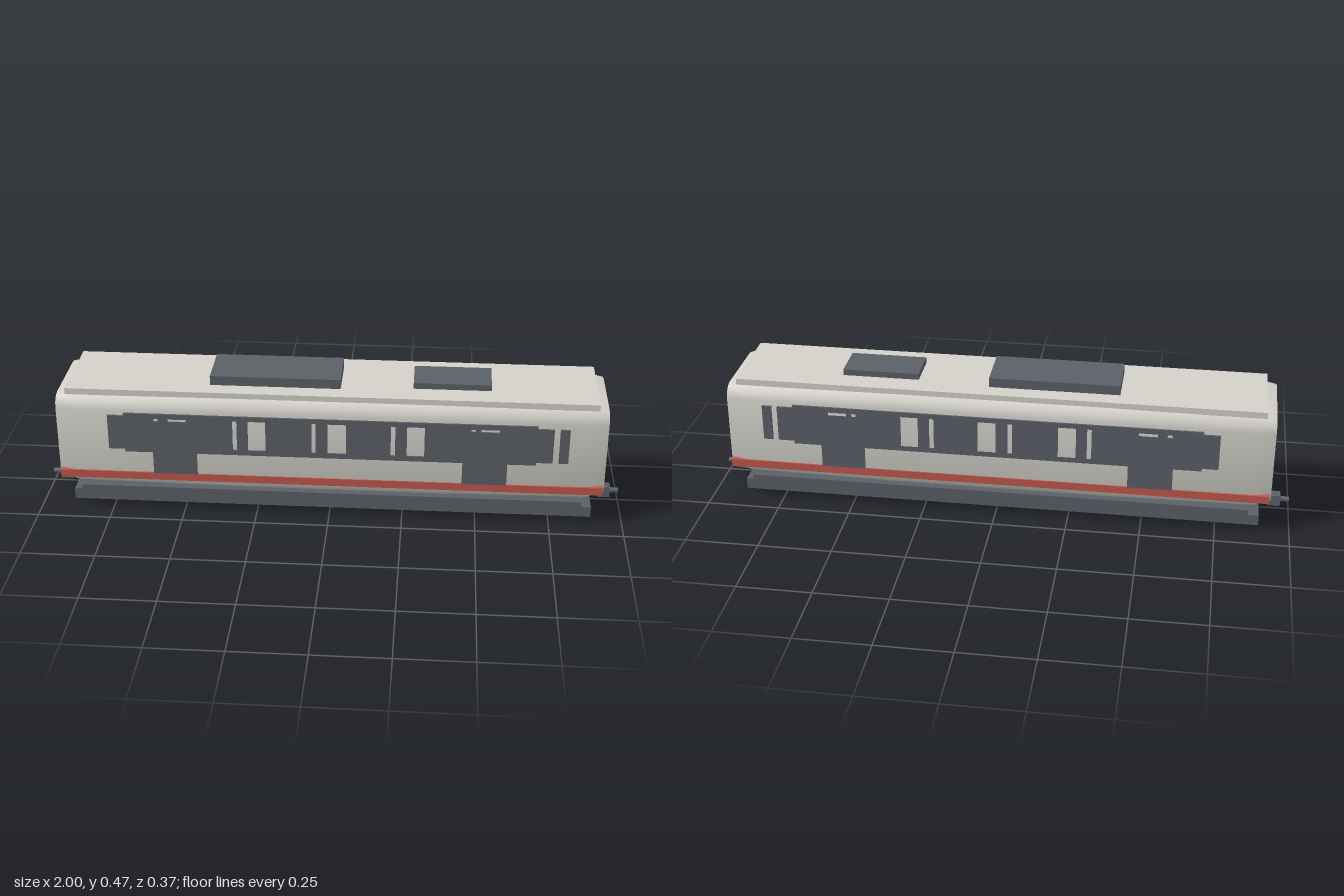
import * as THREE from 'three';
import { toCreasedNormals } from 'three/addons/utils/BufferGeometryUtils.js';

const cream = new THREE.MeshStandardMaterial({ color: 0xd3d1c9 });
cream.name = 'cream paint';
const dark = new THREE.MeshStandardMaterial({ color: 0x5b5f67 });
dark.name = 'dark grey';
const red = new THREE.MeshStandardMaterial({ color: 0xc0584e });
red.name = 'red stripe paint';

function add(parent, name, geometry, material) {
  const mesh = new THREE.Mesh(geometry, material);
  mesh.name = name;
  parent.add(mesh);
  return mesh;
}

// Box given by its limits on each axis
function box(parent, name, material, [x0, x1], [y0, y1], [z0, z1]) {
  const mesh = add(parent, name, new THREE.BoxGeometry(x1 - x0, y1 - y0, z1 - z0), material);
  mesh.position.set((x0 + x1) / 2, (y0 + y1) / 2, (z0 + z1) / 2);
  return mesh;
}

// Rounded rectangle cross-section at x
function section(x, halfWidth, y0, y1, r) {
  const points = [];
  const corners = [[1, 1], [-1, 1], [-1, -1], [1, -1]];
  corners.forEach(([sz, sy], c) => {
    for (let i = 0; i <= 3; i++) {
      const a = (c + i / 3) * Math.PI / 2;
      const cz = sz * (halfWidth - r), cy = sy > 0 ? y1 - r : y0 + r;
      points.push([x, cy + Math.sin(a) * r, cz + Math.cos(a) * r]);
    }
  });
  return points;
}

// Lofted shell, tapering towards both ends
function bodyGeometry() {
  const half = [
    [0.93, 0.163, 0.101, 0.413, 0.042],
    [0.87, 0.178, 0.088, 0.422, 0.046],
    [0.36, 0.1805, 0.083, 0.425, 0.046],
  ];
  const rings = [
    ...half.map(([x, ...rest]) => section(-x, ...rest)),
    ...half.slice().reverse().map((s) => section(...s)),
  ];
  const n = rings[0].length;
  const positions = rings.flat(2);
  const index = [];
  for (let k = 0; k < rings.length - 1; k++) {
    for (let i = 0; i < n; i++) {
      const a = k * n + i, b = k * n + (i + 1) % n;
      index.push(a, a + n, b, b, a + n, b + n);
    }
  }
  const last = (rings.length - 1) * n;
  for (let i = 1; i < n - 1; i++) {
    index.push(0, i, i + 1);
    index.push(last, last + i + 1, last + i);
  }
  const geometry = new THREE.BufferGeometry();
  geometry.setAttribute('position', new THREE.Float32BufferAttribute(positions, 3));
  geometry.setIndex(index);
  return toCreasedNormals(geometry, 0.6);
}

// Window band with both doors, and openings that show the body paint
function windowBandGeometry(mirrored) {
  const m = mirrored ? -1 : 1;
  const outline = [
    [-0.75, 0.235], [-0.695, 0.235], [-0.695, 0.225], [-0.6, 0.225], [-0.6, 0.145], [-0.45, 0.145],
    [-0.45, 0.225], [0.45, 0.225], [0.45, 0.145], [0.6, 0.145], [0.6, 0.225], [0.695, 0.225],
    [0.695, 0.235], [0.75, 0.235], [0.75, 0.36], [0.695, 0.36], [0.695, 0.37], [-0.695, 0.37],
    [-0.695, 0.36], [-0.75, 0.36],
  ];
  const shape = new THREE.Shape(outline.map(([x, y]) => new THREE.Vector2(m * x, y)));
  const openings = [
    [-0.326, -0.311, 0.243, 0.353], [-0.274, -0.214, 0.243, 0.353],
    [-0.059, -0.044, 0.243, 0.353], [-0.004, 0.058, 0.243, 0.353],
    [0.208, 0.223, 0.243, 0.353], [0.262, 0.321, 0.243, 0.353],
    [-0.592, -0.577, 0.342, 0.352], [-0.545, -0.483, 0.342, 0.352],
    [0.475, 0.49, 0.342, 0.352], [0.508, 0.57, 0.342, 0.352],
  ];
  for (const [x0, x1, y0, y1] of openings) {
    shape.holes.push(new THREE.Path([[x0, y0], [x1, y0], [x1, y1], [x0, y1]]
      .map(([x, y]) => new THREE.Vector2(m * x, y))));
  }
  return new THREE.ExtrudeGeometry(shape, { depth: 0.008, bevelEnabled: false });
}

export function createModel() {
  const model = new THREE.Group();
  model.name = 'railCar';

  // Body and roof
  add(model, 'body', bodyGeometry(), cream);
  box(model, 'roofPanel', cream, [-0.897, 0.897], [0.418, 0.44], [-0.151, 0.151]);
  box(model, 'largeRoofUnit', dark, [-0.41, 0.033], [0.435, 0.473], [-0.09, 0.09]);
  box(model, 'smallRoofUnit', dark, [0.278, 0.54], [0.435, 0.461], [-0.069, 0.069]);

  // Chassis
  box(model, 'upperChassis', dark, [-0.858, 0.858], [0.037, 0.081], [-0.171, 0.171]);
  box(model, 'lowerChassis', dark, [-0.897, 0.897], [0, 0.038], [-0.127, 0.127]);

  // Sides: windows, doors and stripe
  for (const s of [1, -1]) {
    const side = new THREE.Group();
    side.name = s > 0 ? 'frontSide' : 'backSide';
    const band = add(side, 'windowBandAndDoors', windowBandGeometry(s < 0), dark);
    band.position.z = s * 0.178;
    if (s < 0) band.rotation.y = Math.PI;
    const limits = (a, b) => (s > 0 ? [a, b] : [-b, -a]);
    box(side, 'endWindow', dark, [0.77, 0.802], [0.235, 0.36], limits(0.177, 0.186));
    box(side, 'stripe', red, [-0.925, 0.925], [0.118, 0.145], limits(0.16, 0.1845));
    model.add(side);
  }

  // Couplers
  for (const s of [1, -1]) {
    const coupler = new THREE.Group();
    coupler.name = s > 0 ? 'leftCoupler' : 'rightCoupler';
    const block = add(coupler, 'couplerBlock', new THREE.BoxGeometry(0.043, 0.038, 0.038), dark);
    block.position.set(s * 0.9485, 0.038, 0);
    const pin = add(coupler, 'couplerPin', new THREE.CylinderGeometry(0.0095, 0.0095, 0.035, 16), dark);
    pin.rotation.z = Math.PI / 2;
    pin.position.set(s * 0.9825, 0.038, 0);
    model.add(coupler);
  }
  return model;
}
